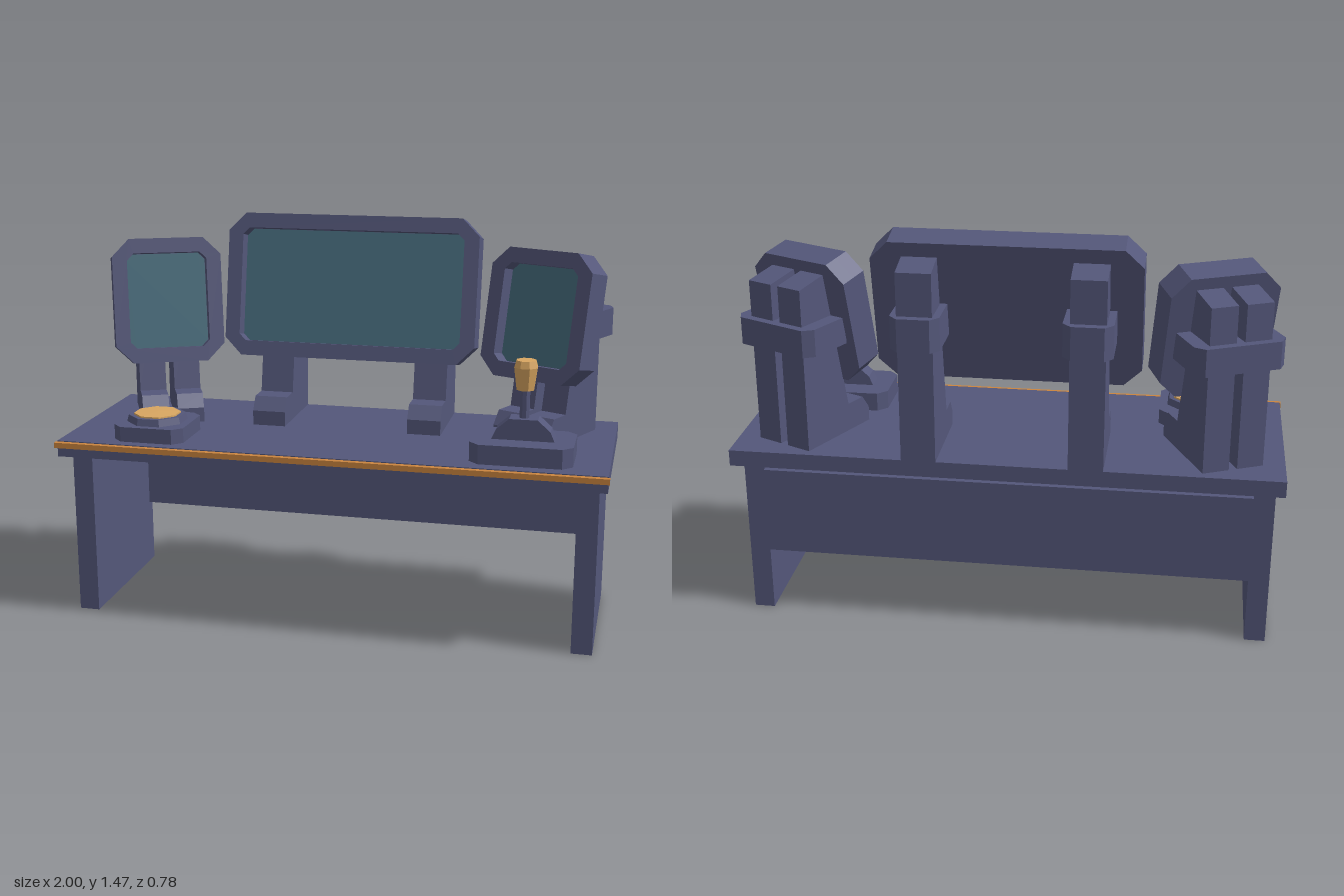
import * as THREE from 'three';

const mat = (name, color) => {
  const m = new THREE.MeshStandardMaterial({ color });
  m.name = name;
  return m;
};

// rectangle with cut corners, as points around the centre
function cutRect(w, h, c) {
  const x = w / 2, y = h / 2;
  return [[-x + c, -y], [x - c, -y], [x, -y + c], [x, y - c], [x - c, y], [-x + c, y], [-x, y - c], [-x, -y + c]]
    .map(([a, b]) => new THREE.Vector2(a, b));
}

function extrude(points, depth, hole) {
  const shape = new THREE.Shape(points);
  if (hole) shape.holes.push(new THREE.Path(hole));
  return new THREE.ExtrudeGeometry(shape, { depth, bevelEnabled: false });
}

const toVectors = (list) => list.map(([a, b]) => new THREE.Vector2(a, b));

// faceted turned part
function turned(profile, sides) {
  const g = new THREE.LatheGeometry(toVectors(profile), sides, Math.PI / sides).toNonIndexed();
  g.computeVertexNormals();
  return g;
}

export function createModel() {
  const navy = mat('navy metal', 0x54577a);
  const teal = mat('teal screen', 0x466c7c);
  const copper = mat('copper trim', 0xcb853f);
  const tan = mat('tan control', 0xd8a661);
  const model = new THREE.Group();
  model.name = 'controlDesk';

  const add = (parent, name, geometry, material, x = 0, y = 0, z = 0) => {
    const mesh = new THREE.Mesh(geometry, material);
    mesh.name = name;
    mesh.position.set(x, y, z);
    parent.add(mesh);
    return mesh;
  };
  const box = (name, material, w, h, d, x, y, z) =>
    add(model, name, new THREE.BoxGeometry(w, h, d), material, x, y, z);

  // desk
  box('deskTop', navy, 1.99, 0.06, 0.73, 0, 0.65, 0.005);
  box('edgeTrim', copper, 2, 0.02, 0.02, 0, 0.667, 0.38);
  for (const s of [-1, 1]) box('deskLeg', navy, 0.075, 0.62, 0.595, s * 0.9275, 0.31, 0.0075);
  box('backPanel', navy, 1.78, 0.33, 0.04, 0, 0.415, -0.278);

  // tilted display: back shell, rim with a deep opening, screen
  function display(parent, w, h, y) {
    const g = new THREE.Group();
    g.name = 'display';
    g.position.y = y;
    g.rotation.x = -0.197;
    parent.add(g);
    const outer = cutRect(w, h, 0.065);
    add(g, 'displayShell', extrude(outer, 0.055), navy, 0, 0, -0.0575);
    add(g, 'displayRim', extrude(outer, 0.06, cutRect(w - 0.11, h - 0.11, 0.025)), navy, 0, 0, -0.0025);
    add(g, 'screen', extrude(cutRect(w - 0.112, h - 0.112, 0.025), 0.004), teal, 0, 0, -0.0025);
  }

  // upright post with a stepped foot in front
  function post(parent, width, x, top) {
    const frontZ = (y) => -0.11 + 0.2 * (1.4 - y);
    const geo = extrude(toVectors([
      [-0.22, 0.68], [0.13, 0.68], [0.13, 0.735], [0.095, 0.785],
      [frontZ(0.785), 0.785], [frontZ(top), top], [-0.22, top - 0.025],
    ]), width);
    geo.rotateY(-Math.PI / 2).translate(width / 2, 0, 0);
    add(parent, 'supportPost', geo, navy, x);
  }

  // band around the posts, with cut rear corners
  function collar(parent, half, y, height, x = 0) {
    const geo = extrude(toVectors([
      [-half, 0.045], [half, 0.045], [half, 0.215], [half - 0.03, 0.25], [-half + 0.03, 0.25], [-half, 0.215],
    ]), height);
    geo.rotateX(-Math.PI / 2);
    add(parent, 'postCollar', geo, navy, x, y);
  }

  function station(name, x, z, yaw) {
    const g = new THREE.Group();
    g.name = name;
    g.position.set(x, 0, z);
    g.rotation.y = yaw;
    model.add(g);
    return g;
  }

  // wide centre display on two separate posts
  const centre = station('centreDisplay', 0, -0.14, 0);
  display(centre, 0.95, 0.535, 1.197);
  for (const s of [-1, 1]) {
    post(centre, 0.125, s * 0.298, 1.4);
    collar(centre, 0.0875, 1.1, 0.12, s * 0.298);
  }

  // angled side displays, each on a pair of posts
  for (const s of [-1, 1]) {
    const side = station(s > 0 ? 'leftDisplay' : 'rightDisplay', s * 0.717, -0.08, -s * 0.436);
    display(side, 0.41, 0.47, 1.1325);
    for (const t of [-1, 1]) post(side, 0.1, t * 0.066, 1.31);
    collar(side, 0.17, 1.052, 0.1);
  }

  // push button console
  const button = station('buttonConsole', -0.667, 0.2, 0);
  const pad = (w, d, h) => extrude(cutRect(w, d, 0.035), h).rotateX(-Math.PI / 2);
  add(button, 'buttonBase', pad(0.265, 0.26, 0.055), navy, 0, 0.68);
  add(button, 'buttonRing', turned([[0.112, 0], [0.105, 0.025], [0.088, 0.025], [0.088, 0]], 8), navy, 0, 0.735);
  add(button, 'pushButton', turned([[0.088, 0], [0.086, 0.03], [0, 0.032]], 8), tan, 0, 0.735);

  // joystick console
  const stick = station('joystickConsole', 0.69, 0.2, 0);
  add(stick, 'joystickBase', pad(0.36, 0.245, 0.07), navy, 0, 0.68);
  add(stick, 'joystickArch', extrude(toVectors([
    [-0.11, 0], [0.11, 0], [0.095, 0.035], [0.05, 0.075], [-0.05, 0.075], [-0.095, 0.035],
  ]), 0.072), navy, 0, 0.75, -0.036);
  add(stick, 'joystickShaft', turned([[0.018, 0], [0.018, 0.12]], 8), navy, 0, 0.815);
  add(stick, 'joystickGrip', turned([[0, 0], [0.032, 0], [0.043, 0.08], [0.036, 0.105], [0, 0.105]], 8), tan, 0, 0.925);

  return model;
}
